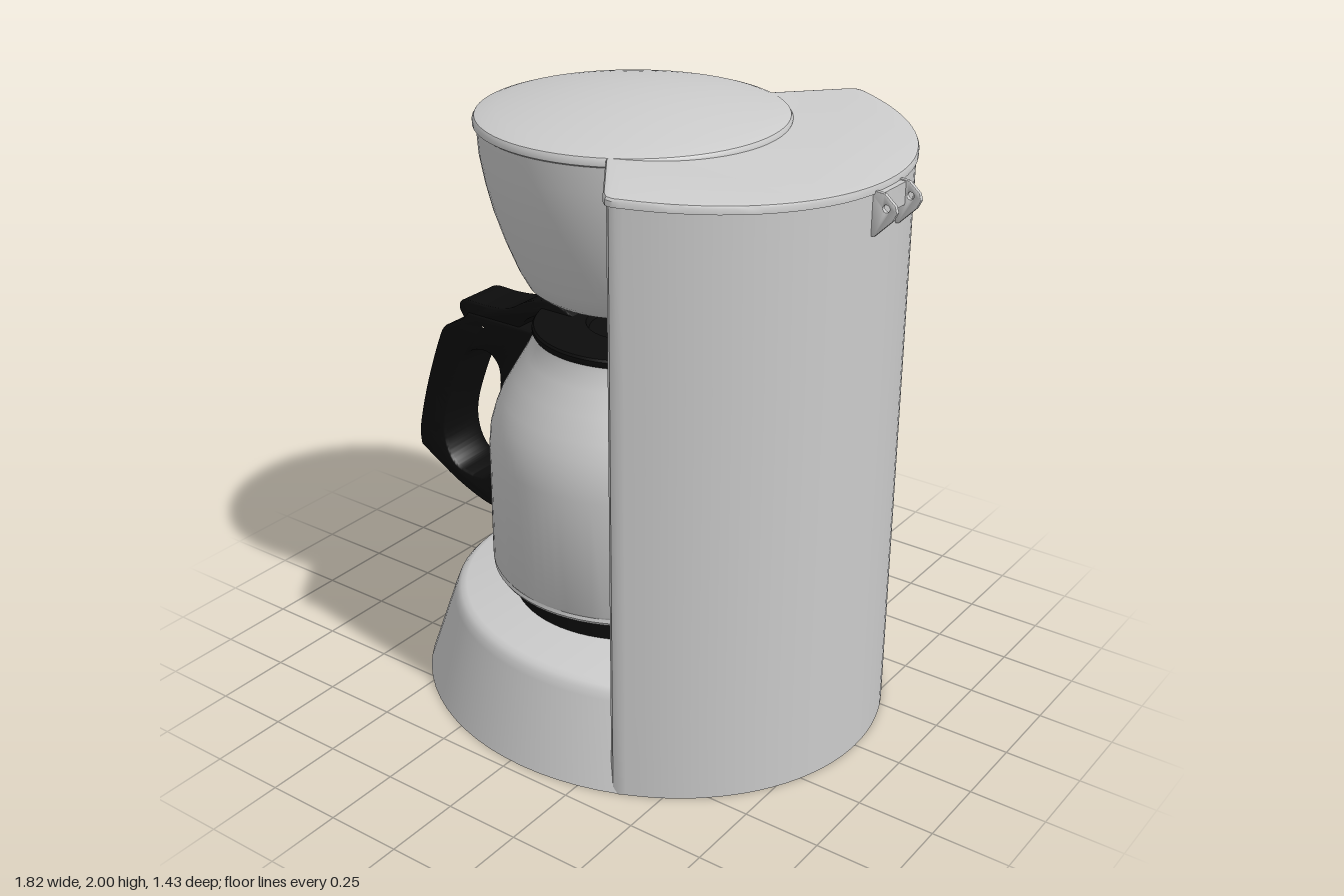
import * as THREE from 'three';
import { toCreasedNormals } from 'three/addons/utils/BufferGeometryUtils.js';

const V = (x, y) => new THREE.Vector2(x, y);
const grey = new THREE.MeshStandardMaterial({ color: 0xcccccc });
const black = new THREE.MeshStandardMaterial({ color: 0x0c0c0c });

function add(group, name, geo, mat = grey, crease = 0.6) {
  const mesh = new THREE.Mesh(toCreasedNormals(geo, crease), mat);
  mesh.name = name;
  group.add(mesh);
  return mesh;
}

// Turned part on a vertical axis, optionally stretched into an ellipse
function turned(profile, cx, sx = 1, sz = 1) {
  return new THREE.LatheGeometry(profile.map(p => V(...p)), 72).scale(sx, 1, sz).translate(cx, 0, 0);
}

// Column cross-section in x,z: outer ellipse arc, rounded corners, straight cheeks, hollow front
function section(ex) {
  const pts = [], a = 1.108, ez = 0.44 + (ex - 0.2) * 1.42;
  for (let i = 0; i <= 40; i++) {
    const t = -a + (2 * a * i) / 40;
    pts.push(V(0.045 + 0.795 * Math.cos(t), 0.715 * Math.sin(t)));
  }
  pts.push(V(0.38, 0.65), V(0.358, 0.65), V(0.338, 0.632));
  for (let i = 0; i <= 24; i++) {
    const t = Math.PI / 2 - (Math.PI * i) / 24;
    pts.push(V(ex + 0.23 * Math.cos(t), ez * Math.sin(t)));
  }
  pts.push(V(0.338, -0.632), V(0.358, -0.65), V(0.38, -0.65));
  return pts;
}

// Skin over rows of [height, cheek end x, outward growth, tilt], closed at both ends
function loft(rows) {
  const pos = [], index = [], n = section(0.2).length;
  for (const [y, ex, grow = 0, tilt = 0] of rows)
    for (const p of section(ex))
      pos.push(0.5 + (p.x - 0.5) * (1 + grow), y + tilt * (0.5 - p.x), p.y * (1 + grow));
  for (let r = 0; r < rows.length - 1; r++)
    for (let i = 0; i < n; i++) {
      const a = r * n + i, b = r * n + (i + 1) % n;
      index.push(a, a + n, b + n, a, b + n, b);
    }
  const last = (rows.length - 1) * n;
  for (const [a, b, c] of THREE.ShapeUtils.triangulateShape(section(rows[0][1]), [])) index.push(a, b, c);
  for (const [a, b, c] of THREE.ShapeUtils.triangulateShape(section(rows.at(-1)[1]), []))
    index.push(last + a, last + c, last + b);
  const geo = new THREE.BufferGeometry();
  geo.setAttribute('position', new THREE.Float32BufferAttribute(pos, 3));
  geo.setIndex(index);
  return geo;
}

// Flat x,y outline given a rounded thickness in z
function slab(shape, width, bevel) {
  return new THREE.ExtrudeGeometry(shape, {
    depth: width - 2 * bevel, bevelThickness: bevel, bevelSize: bevel, bevelOffset: -bevel,
    bevelSegments: 4, curveSegments: 10,
  }).translate(0, 0, -width / 2 + bevel);
}

function hole(shape, x, y, r) {
  shape.holes.push(new THREE.Path().absarc(x, y, r, 0, Math.PI * 2, true));
}

export function createModel() {
  const model = new THREE.Group();
  model.name = 'coffeeMaker';
  const cx = -0.04; // axis of basket, carafe and warming plate

  // Flared foot
  add(model, 'base', turned(
    [[0, 0], [1, 0], [0.88, 0.275], [0.868, 0.298], [0.85, 0.313], [0.825, 0.32], [0, 0.32]],
    0.045, 0.795, 0.715));

  // Water tank column, hollowed around the carafe, with a tilted top
  add(model, 'column', loft([
    [0, 0.2], [0.3, 0.2], [0.325, 0.225], [0.345, 0.25], [0.38, 0.265], [0.43, 0.27], [0.92, 0.27],
    [1.02, 0.264], [1.12, 0.245], [1.25, 0.21], [1.385, 0.17], [1.385, 0.08], [1.9, 0.08, 0, 0.065]]));
  add(model, 'tankLid', loft([
    [1.896, 0.1, 0, 0.065], [1.896, 0.1, 0.018, 0.065], [1.913, 0.1, 0.018, 0.065],
    [1.92, 0.1, 0.01, 0.065], [1.922, 0.1, -0.005, 0.065]]));

  // Filter basket with its domed lid
  add(model, 'filterBasket', turned(
    [[0, 1.385], [0.285, 1.385], [0.31, 1.39], [0.332, 1.408], [0.36, 1.46], [0.4, 1.56], [0.43, 1.65],
      [0.452, 1.74], [0.468, 1.83], [0.474, 1.92], [0, 1.92]], cx));
  const dome = [[0, 1.912], [0.475, 1.912], [0.484, 1.918], [0.484, 1.932], [0.478, 1.942], [0.46, 1.948]];
  for (let i = 1; i <= 10; i++) {
    const r = 0.46 * (1 - i / 10);
    dome.push([r, 1.948 + 0.052 * (1 - (r / 0.46) ** 2)]);
  }
  add(model, 'basketLid', turned(dome, cx));

  // Lid hinge at the back of the tank
  const hinge = new THREE.Group();
  hinge.name = 'lidHinge';
  model.add(hinge);
  for (const side of [-1, 1]) {
    const s = new THREE.Shape([V(0.82, 1.75), V(0.845, 1.75), V(0.9, 1.805), V(0.912, 1.83),
      V(0.905, 1.85), V(0.87, 1.88), V(0.82, 1.885)]);
    hole(s, 0.878, 1.838, 0.011);
    add(hinge, 'hingeCheek', slab(s, 0.014, 0.002)).position.z = side * 0.069;
  }
  const bridge = new THREE.Shape([V(0.82, 1.81), V(0.862, 1.81), V(0.862, 1.878), V(0.82, 1.88)]);
  add(hinge, 'hingeBridge', slab(bridge, 0.13, 0.003));

  // Warming plate
  add(model, 'warmingPlate', turned(
    [[0, 0.31], [0.4, 0.31], [0.4, 0.38], [0.392, 0.388], [0.33, 0.39], [0.32, 0.41], [0, 0.41]], cx), black);

  // Carafe
  const carafe = new THREE.Group();
  carafe.name = 'carafe';
  model.add(carafe);
  add(carafe, 'carafeBody', turned(
    [[0, 0.402], [0.44, 0.402], [0.46, 0.408], [0.468, 0.42], [0.465, 0.432], [0.47, 0.44], [0.47, 0.84],
      [0.463, 0.91], [0.447, 0.965], [0.425, 1.02], [0.385, 1.09], [0.345, 1.158], [0.318, 1.21],
      [0.313, 1.235], [0, 1.235]], cx));
  add(carafe, 'carafeLid', turned(
    [[0, 1.228], [0.318, 1.228], [0.322, 1.235], [0.322, 1.248], [0.316, 1.255], [0.15, 1.255],
      [0.14, 1.236], [0.075, 1.236], [0.075, 1.262], [0.066, 1.28], [0.045, 1.291], [0, 1.297]], cx), black);

  // Carafe handle with a large grip opening
  const grip = new THREE.Shape();
  grip.moveTo(-0.47, 0.44);
  grip.lineTo(-0.51, 0.445);
  grip.splineThru([V(-0.62, 0.462), V(-0.73, 0.503), V(-0.82, 0.552), V(-0.907, 0.605)]);
  grip.splineThru([V(-0.91, 0.67), V(-0.88, 0.8), V(-0.836, 0.94), V(-0.79, 1.06), V(-0.767, 1.092)]);
  grip.lineTo(-0.693, 1.13);
  grip.lineTo(-0.66, 1.165);
  grip.lineTo(-0.37, 1.165);
  grip.splineThru([V(-0.4, 1.06), V(-0.455, 0.96), V(-0.48, 0.84)]);
  grip.lineTo(-0.47, 0.44);
  const opening = new THREE.Path();
  opening.moveTo(-0.667, 0.553);
  opening.splineThru([V(-0.6, 0.57), V(-0.553, 0.645), V(-0.55, 0.78), V(-0.53, 0.96), V(-0.555, 1.025),
    V(-0.61, 1.04), V(-0.675, 1.01), V(-0.73, 0.9), V(-0.782, 0.75), V(-0.785, 0.65), V(-0.745, 0.575),
    V(-0.667, 0.553)]);
  // The bevel pulls the outline in, so the grip opening keeps its read size
  grip.holes.push(opening);
  hole(grip, -0.592, 1.132, 0.008);
  add(carafe, 'handle', slab(grip, 0.185, 0.012), black, 0.8);

  // Thumb lever running from the handle to the lid
  const lever = new THREE.Shape();
  lever.moveTo(-0.675, 1.13);
  lever.splineThru([V(-0.7, 1.165), V(-0.697, 1.195), V(-0.665, 1.207), V(-0.58, 1.206), V(-0.49, 1.218),
    V(-0.42, 1.256), V(-0.35, 1.28), V(-0.28, 1.279), V(-0.21, 1.25)]);
  lever.lineTo(-0.21, 1.235);
  lever.lineTo(-0.355, 1.232);
  lever.lineTo(-0.41, 1.2);
  lever.lineTo(-0.455, 1.15);
  lever.lineTo(-0.57, 1.15);
  add(carafe, 'thumbLever', slab(lever, 0.17, 0.006), black, 0.8);

  return model;
}
